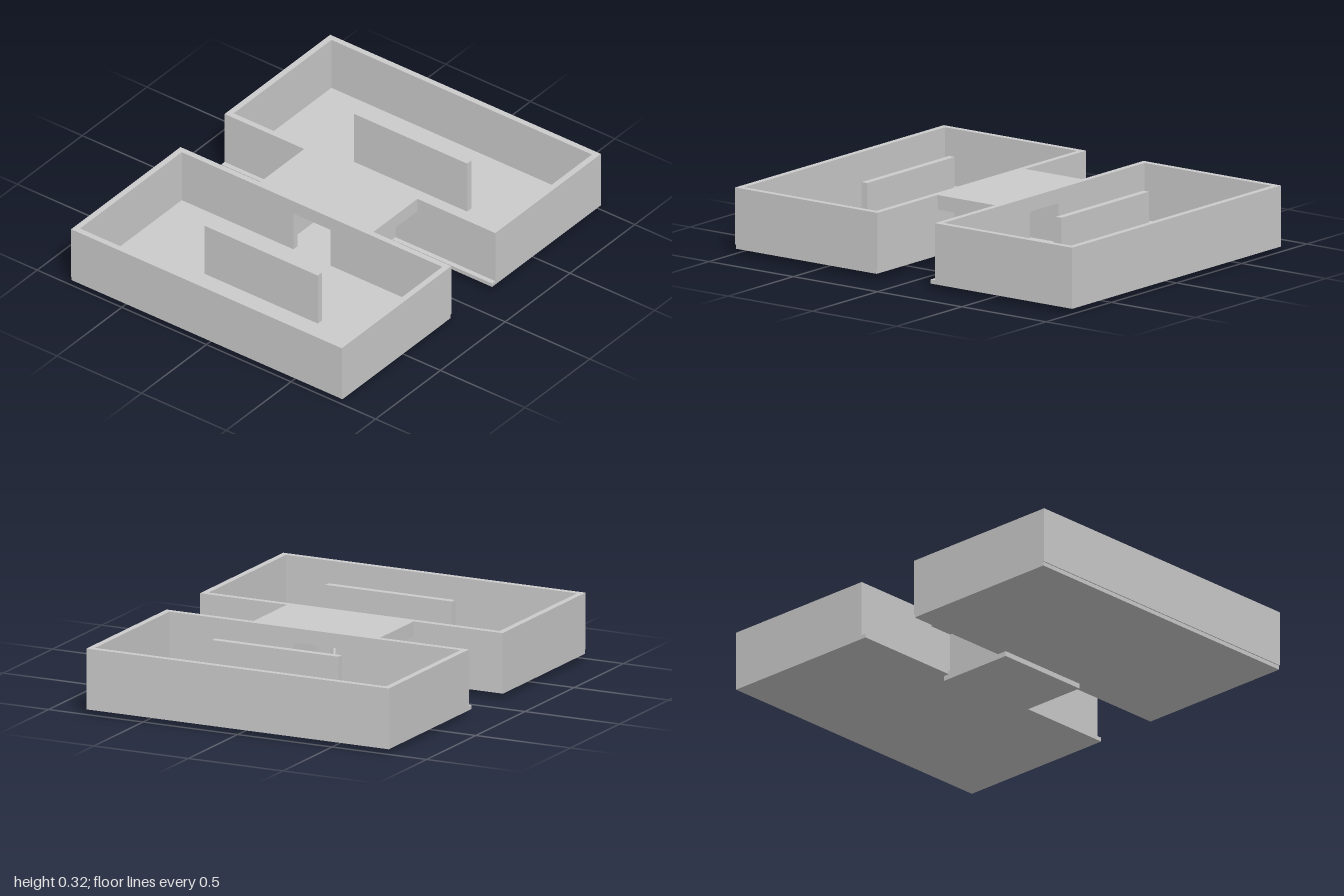
import * as THREE from 'three';

const material = new THREE.MeshStandardMaterial({ color: 0xcccccc, flatShading: true });

// Box given by its min and max along each axis
function block(parent, name, [x0, x1], [y0, y1], [z0, z1]) {
  const mesh = new THREE.Mesh(new THREE.BoxGeometry(x1 - x0, y1 - y0, z1 - z0), material);
  mesh.position.set((x0 + x1) / 2, (y0 + y1) / 2, (z0 + z1) / 2);
  mesh.name = name;
  parent.add(mesh);
}

// Wall along z with a doorway, drawn as (z, y) and extruded along x
function doorWall(parent, name, x0, x1, z0, z1) {
  const outline = [[z0, FLOOR], [-DOOR, FLOOR], [-DOOR, LINTEL], [DOOR, LINTEL],
    [DOOR, FLOOR], [z1, FLOOR], [z1, TOP], [z0, TOP]];
  const shape = new THREE.Shape(outline.map(([z, y]) => new THREE.Vector2(-z, y)));
  const geometry = new THREE.ExtrudeGeometry(shape, { depth: x1 - x0, bevelEnabled: false });
  geometry.rotateY(Math.PI / 2);
  const mesh = new THREE.Mesh(geometry, material);
  mesh.position.x = x0;
  mesh.name = name;
  parent.add(mesh);
}

const TOP = 0.32, BASE = 0.025, FLOOR = 0.045, LINTEL = 0.25, DOOR = 0.11, T = 0.03;

// Open-topped room: floor, outer wall, end walls, inner wall with doorway, partition
function room(name, floorX, outerX, innerX, partitionX) {
  const group = new THREE.Group();
  group.name = name;
  const x0 = Math.min(outerX[0], innerX[0]), x1 = Math.max(outerX[1], innerX[1]);
  const height = [FLOOR, TOP];
  block(group, 'floor', floorX, [BASE, FLOOR], [-0.8, 0.8]);
  block(group, 'outerWall', outerX, height, [-0.8 + T, 0.8 - T]);
  block(group, 'frontWall', [x0, x1], height, [0.8 - T, 0.8]);
  block(group, 'backWall', [x0, x1], height, [-0.8, -0.8 + T]);
  doorWall(group, 'doorWall', innerX[0], innerX[1], -0.8 + T, 0.8 - T);
  block(group, 'partition', partitionX, height, [-0.32, 0.35]);
  return group;
}

export function createModel() {
  const model = new THREE.Group();
  model.name = 'twinRoomBuilding';

  model.add(room('leftRoom', [0.16, 1], [1 - T, 1], [0.185, 0.215], [0.555, 0.588]));
  model.add(room('rightRoom', [-0.995, -0.16], [-1, -1 + T], [-0.185, -0.155], [-0.597, -0.564]));

  // Covered passage linking the two doorways
  const passage = new THREE.Group();
  passage.name = 'passage';
  block(passage, 'passageFloor', [-0.21, 0.19], [0, 0.043], [-0.235, 0.265]);
  block(passage, 'passageRoof', [-0.155, 0.185], [LINTEL, TOP], [-0.33, 0.34]);
  block(passage, 'passageFrontWall', [-0.155, 0.185], [0.043, LINTEL], [0.18, 0.21]);
  block(passage, 'passageBackWall', [-0.155, 0.185], [0.043, LINTEL], [-0.2, -0.17]);
  model.add(passage);

  return model;
}
